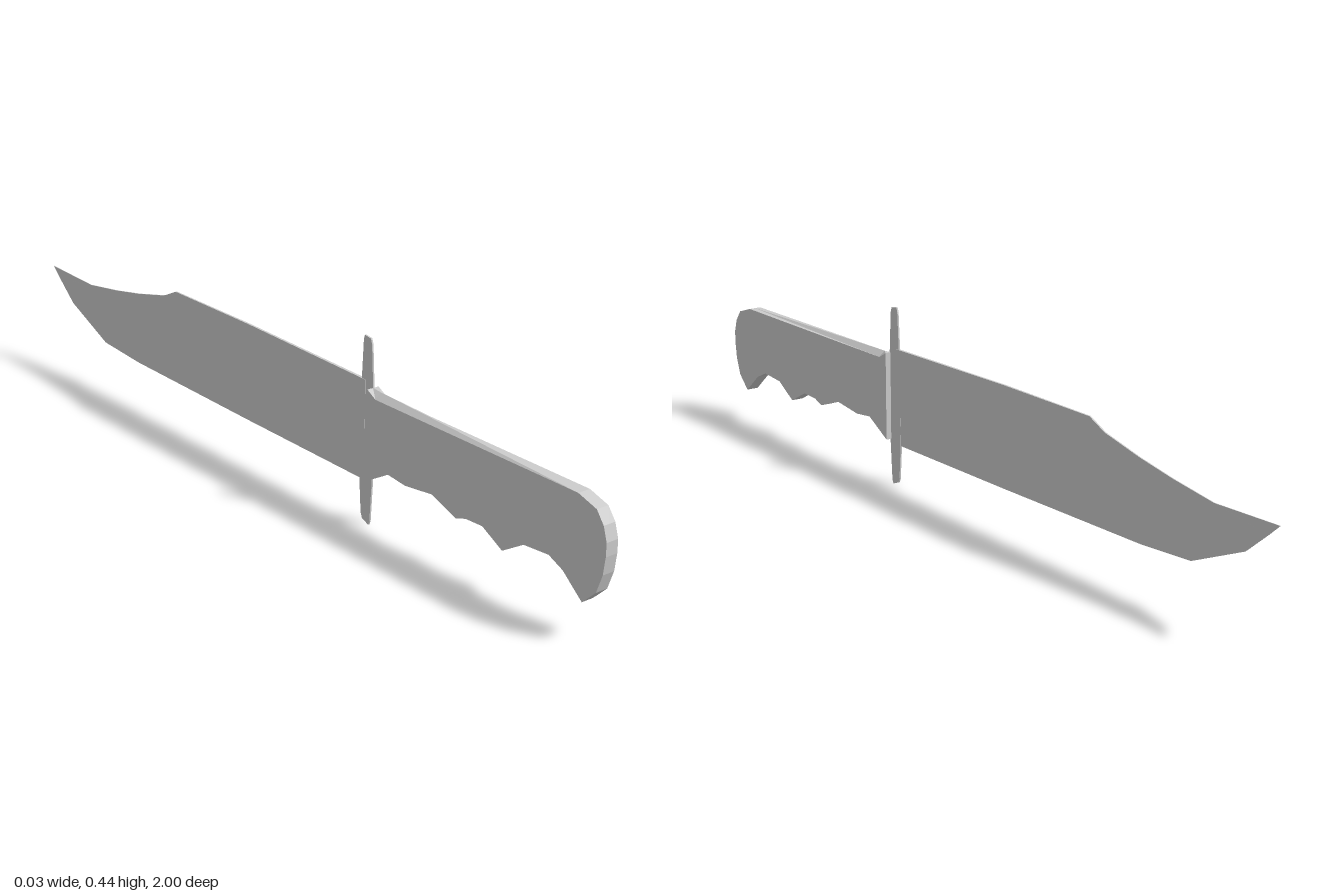
import * as THREE from 'three';

// Extrudes a side outline of [z, y] points to a thickness centred on x = 0
function slab(name, points, thickness, rule) {
  const shape = new THREE.Shape(points.map(([z, y]) => new THREE.Vector2(z, y)));
  const geometry = new THREE.ExtrudeGeometry(shape, { depth: thickness, steps: 2, bevelEnabled: false });
  geometry.translate(0, 0, -thickness / 2).rotateY(-Math.PI / 2);
  if (rule) {
    const pos = geometry.attributes.position;
    const v = new THREE.Vector3();
    for (let i = 0; i < pos.count; i++) {
      rule(v.fromBufferAttribute(pos, i));
      pos.setXYZ(i, v.x, v.y, v.z);
    }
    geometry.computeVertexNormals();
  }
  const material = new THREE.MeshStandardMaterial({ color: 0xcccccc, flatShading: true });
  const mesh = new THREE.Mesh(geometry, material);
  mesh.name = name;
  return mesh;
}

export function createModel() {
  const group = new THREE.Group();
  group.name = 'knife';

  // Clip-point blade, thick along the spine and thin at the edge and tip
  group.add(slab('blade', [
    [0.27, 0.335], [-0.15, 0.343], [-0.44, 0.343], [-0.49, 0.32], [-0.6, 0.295], [-0.7, 0.277],
    [-0.82, 0.26], [-1, 0.265], [-0.97, 0.238], [-0.91, 0.187], [-0.76, 0.122], [-0.61, 0.112],
    [-0.15, 0.105], [0.27, 0.101],
  ], 0.007, (v) => {
    const spine = THREE.MathUtils.clamp((v.y - 0.1) / 0.24, 0, 1);
    const base = THREE.MathUtils.clamp((v.z + 1) / 1.25, 0, 1);
    v.x *= 0.2 + 0.8 * spine * base;
  }));

  // Narrow cross guard
  group.add(slab('guard', [
    [0.286, 0.432], [0.266, 0.435], [0.263, 0.425], [0.258, 0.335], [0.254, 0.101], [0.26, 0.02],
    [0.265, 0.008], [0.286, 0], [0.29, 0.01], [0.296, 0.107], [0.296, 0.32], [0.29, 0.42],
  ], 0.004));

  // Handle with finger grooves; the top has a low central ridge
  group.add(slab('handle', [
    [1, 0.23], [0.99, 0.262], [0.97, 0.289], [0.92, 0.305], [0.32, 0.32], [0.293, 0.322],
    [0.293, 0.11], [0.365, 0.15], [0.42, 0.144], [0.505, 0.154], [0.58, 0.127], [0.61, 0.137],
    [0.66, 0.139], [0.72, 0.107], [0.78, 0.143], [0.85, 0.148], [0.89, 0.13], [0.945, 0.083],
    [0.98, 0.117], [0.995, 0.16], [1, 0.2],
  ], 0.031, (v) => {
    const onRidgeEnd = Math.abs(v.z - 0.32) < 0.001 && v.y > 0.3;
    if (onRidgeEnd && Math.abs(v.x) > 0.01) v.y = 0.307;
  }));

  return group;
}
